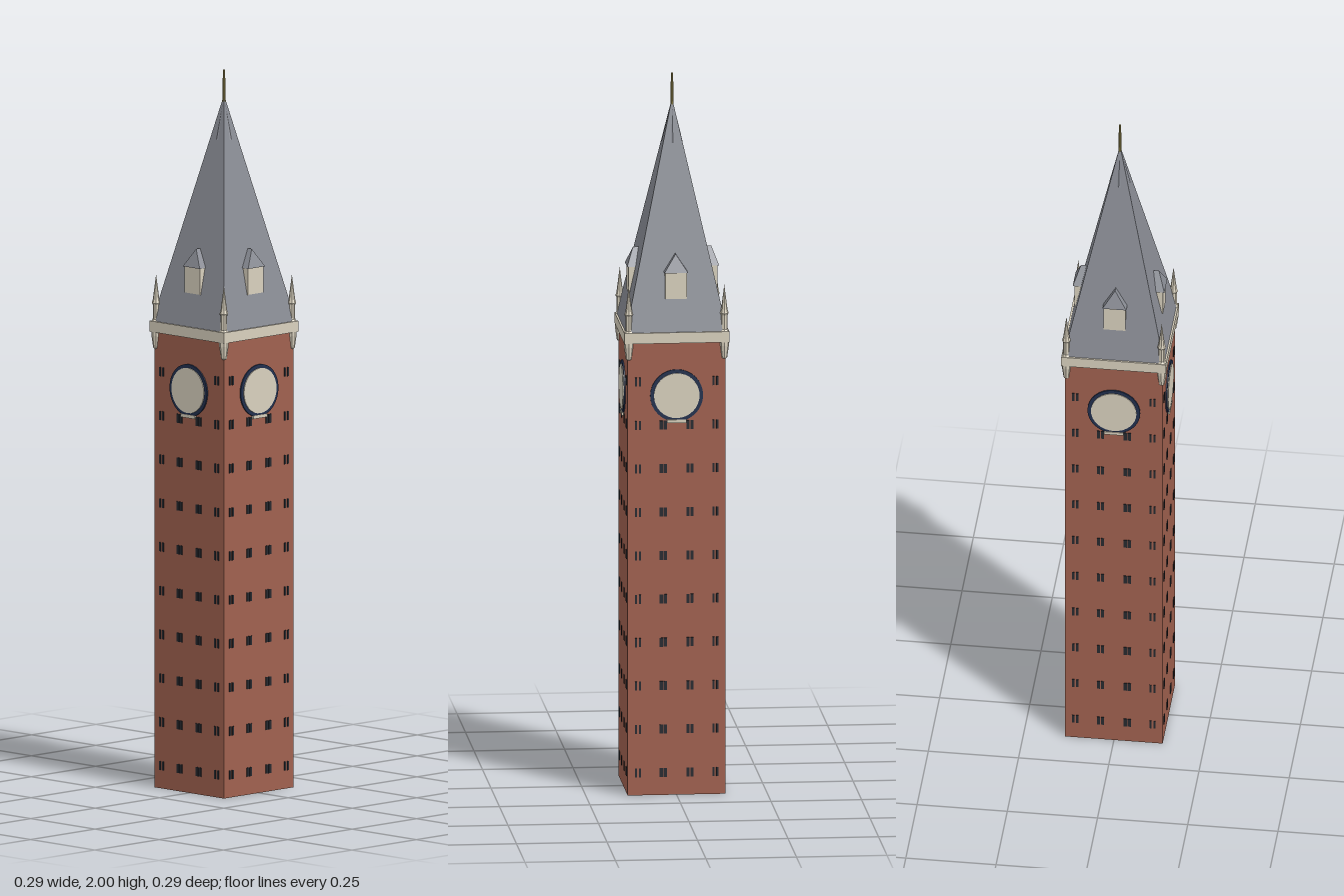
import * as THREE from 'three';

const mat = (name, color) => new THREE.MeshStandardMaterial({ name, color, flatShading: true });

export function createModel() {
  const brick = mat('brick', 0xa0614f);
  const slate = mat('slate', 0x898c94);
  const stone = mat('stone', 0xd8d0bd);
  const navy = mat('navy', 0x22304e);
  const glass = mat('dark glass', 0x26292f);
  const brass = mat('brass', 0x9a8d50);

  const tower = new THREE.Group();
  tower.name = 'clockTower';

  function add(parent, name, geometry, material, x = 0, y = 0, z = 0) {
    const mesh = new THREE.Mesh(geometry, material);
    mesh.name = name;
    mesh.position.set(x, y, z);
    parent.add(mesh);
    return mesh;
  }

  const W = 0.135; // half width of the shaft
  const EAVE = 1.3, APEX = 1.93, ROOF = 0.14;

  // Shaft and cornice
  add(tower, 'shaft', new THREE.BoxGeometry(2 * W, 1.28, 2 * W), brick, 0, 0.64);
  add(tower, 'cornice', new THREE.BoxGeometry(0.29, 0.03, 0.29), stone, 0, 1.285);

  // Square spire, its small cap and the finial
  const spire = new THREE.ConeGeometry(ROOF * Math.SQRT2, APEX - EAVE, 4);
  spire.rotateY(Math.PI / 4);
  add(tower, 'spire', spire, slate, 0, (EAVE + APEX) / 2);
  add(tower, 'spireCap', new THREE.ConeGeometry(0.029, 0.12, 8), slate, 0, 1.868);
  add(tower, 'finial', new THREE.CylinderGeometry(0.003, 0.005, 0.11, 8), brass, 0, 1.945);

  // Hipped dormer roof running back into the spire
  const dormerRoof = new THREE.BufferGeometry();
  dormerRoof.setAttribute('position', new THREE.Float32BufferAttribute([
    -0.033, 1.463, 0.127, 0.033, 1.463, 0.127, // front eave
    0, 1.513, 0.108, 0, 1.513, 0.085, // ridge
    -0.033, 1.463, 0.09, 0.033, 1.463, 0.09, // back eave
  ], 3));
  dormerRoof.setIndex([0, 1, 2, 1, 5, 3, 1, 3, 2, 4, 0, 2, 4, 2, 3, 0, 4, 5, 0, 5, 1, 5, 4, 3]);
  dormerRoof.computeVertexNormals();

  // A pair of narrow slits
  const slit = (w) => new THREE.BoxGeometry(w, 0.025, 0.004);
  const wide = slit(0.009), narrow = slit(0.006);
  const windowPair = (side, x, y, geometry, gap) => {
    for (const s of [-1, 1]) add(side, 'window', geometry, glass, x + s * gap, y, W);
  };

  // Four identical sides
  for (let i = 0; i < 4; i++) {
    const side = new THREE.Group();
    side.name = 'side' + (i + 1);
    side.rotation.y = i * Math.PI / 2;
    tower.add(side);

    for (let row = 0; row < 10; row++) {
      const y = 0.063 + row * 0.122;
      for (const s of [-1, 1]) {
        windowPair(side, s * 0.107, y, narrow, 0.0055);
        if (row < 9) windowPair(side, s * 0.037, y, wide, 0.0055);
      }
    }

    // Clock: navy rim, pale face and sill
    const disc = (r, h) => new THREE.CylinderGeometry(r, r, h, 32).rotateX(Math.PI / 2);
    add(side, 'clockRim', disc(0.073, 0.006), navy, 0, 1.122, W + 0.001);
    add(side, 'clockFace', disc(0.063, 0.009), stone, 0, 1.122, W + 0.002);
    add(side, 'clockSill', new THREE.BoxGeometry(0.054, 0.009, 0.009), stone, 0, 1.05, W + 0.002);

    // Dormer
    add(side, 'dormerBody', new THREE.BoxGeometry(0.06, 0.076, 0.04), stone, 0, 1.428, 0.103);
    add(side, 'dormerRoof', dormerRoof, slate);

    // Corner pinnacle: corbel, shaft, collar and pointed top
    const profile = [
      [0, 1.22], [0.008, 1.225], [0.013, 1.26], [0.013, 1.3], [0.009, 1.305],
      [0.009, 1.345], [0.012, 1.35], [0.009, 1.36], [0, 1.43],
    ].map(([r, y]) => new THREE.Vector2(r, y));
    add(side, 'pinnacle', new THREE.LatheGeometry(profile, 8), stone, 0.132, 0, 0.132);
  }
  return tower;
}
